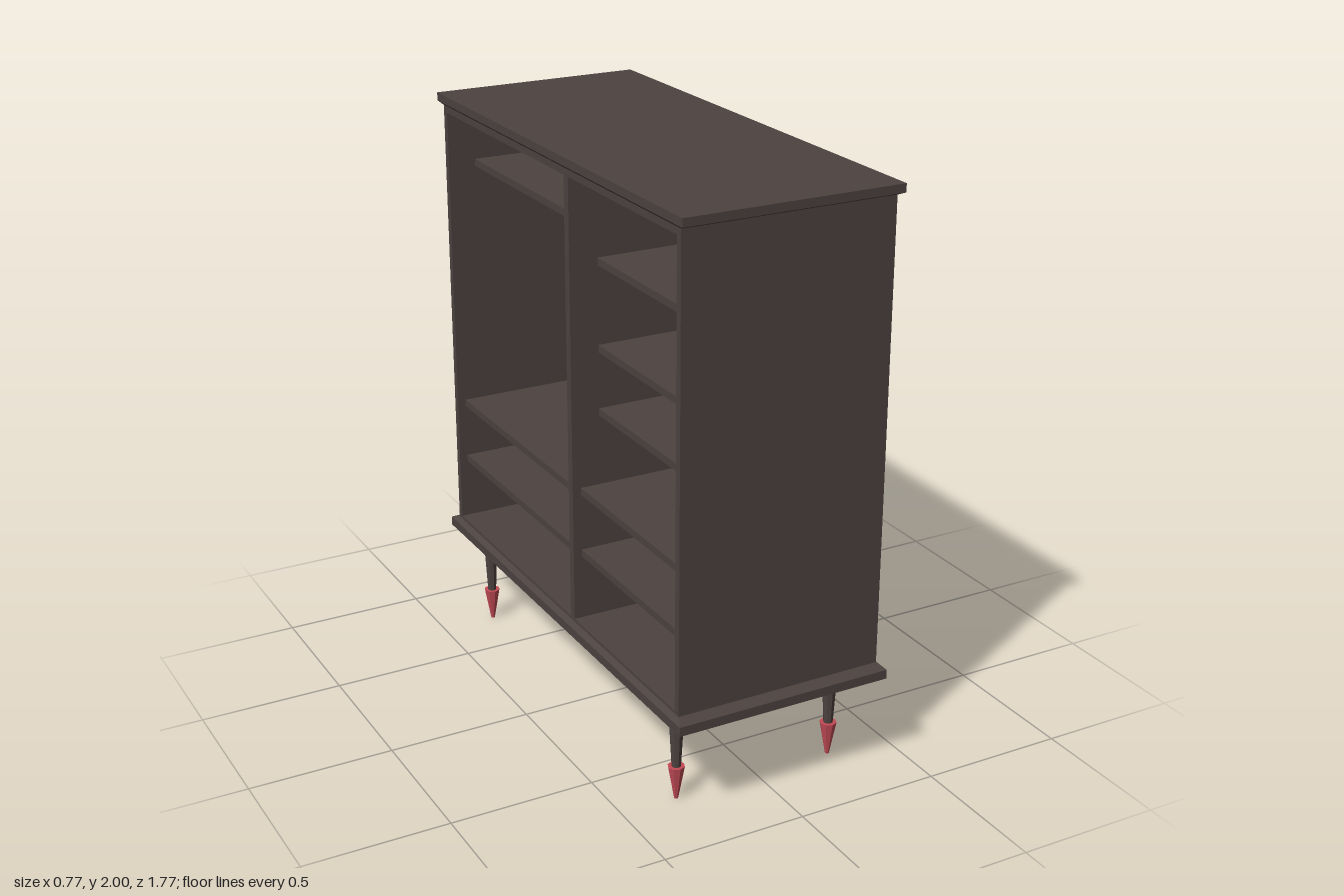
import * as THREE from 'three';

export function createModel() {
  const model = new THREE.Group();
  const wood = new THREE.MeshStandardMaterial({ color: 0x4d4340, flatShading: true });
  const red = new THREE.MeshStandardMaterial({ color: 0xc24a55, flatShading: true });

  function add(name, geometry, material = wood) {
    const mesh = new THREE.Mesh(geometry, material);
    mesh.name = name;
    model.add(mesh);
    return mesh;
  }

  // Box given by its min and max on each axis
  function board(name, x0, x1, y0, y1, z0, z1) {
    const mesh = add(name, new THREE.BoxGeometry(x1 - x0, y1 - y0, z1 - z0));
    mesh.position.set((x0 + x1) / 2, (y0 + y1) / 2, (z0 + z1) / 2);
  }

  // Slab whose lower and upper rectangles differ, for bevelled mouldings
  function bevel(name, y0, y1, lower, upper) {
    const geometry = new THREE.BoxGeometry(2, y1 - y0, 2);
    const p = geometry.attributes.position;
    for (let i = 0; i < p.count; i++) {
      const [hx, hz] = p.getY(i) < 0 ? lower : upper;
      p.setXYZ(i, p.getX(i) * hx, p.getY(i), p.getZ(i) * hz);
    }
    geometry.computeVertexNormals();
    add(name, geometry).position.y = (y0 + y1) / 2;
  }

  const X = 0.368, Z = 0.845, T = 0.025;
  const bottom = 0.387, top = 1.962;

  // Base and top mouldings
  bevel('basePlinth', 0.34, 0.372, [0.385, 0.883], [0.385, 0.883]);
  bevel('basePlinthBevel', 0.372, bottom, [0.385, 0.883], [0.37, 0.855]);
  bevel('topBevel', top, 1.972, [0.37, 0.85], [0.38, 0.872]);
  bevel('topSlab', 1.972, 2, [0.38, 0.872], [0.38, 0.872]);

  // Carcass, open towards -x
  board('backPanel', X - T, X, bottom, top, -Z, Z);
  for (const s of [-1, 1]) {
    const a = s * Z, b = s * (Z - T);
    board('sidePanel', -X, X - T, bottom, top, Math.min(a, b), Math.max(a, b));
  }
  board('floorPanel', -X, X - T, bottom, bottom + 0.01, -Z + T, Z - T);
  board('ceilingPanel', -X, X - T, top - T, top, -Z + T, Z - T);
  const d0 = 0.095, d1 = 0.125;
  board('divider', -X, X - T, bottom, top - T, d0, d1);

  // Shelves: [underside height, setback from the opening]
  const wideBay = [[1.735, 0.1], [0.835, 0.03], [0.615, 0.03]];
  const narrowBay = [[1.635, 0.1], [1.34, 0.1], [1.12, 0.1], [0.85, 0.03], [0.625, 0.03]];
  for (const [y, inset] of wideBay) board('wideShelf', -X + inset, X - T, y, y + T, -Z + T, d0);
  for (const [y, inset] of narrowBay) board('narrowShelf', -X + inset, X - T, y, y + T, d1, Z - T);

  // Tapered legs with coloured pointed feet
  for (const x of [-0.3, 0.28]) {
    for (const z of [-0.72, 0.71]) {
      add('leg', new THREE.CylinderGeometry(0.028, 0.016, 0.22, 8)).position.set(x, 0.23, z);
      add('foot', new THREE.CylinderGeometry(0.029, 0.007, 0.12, 8), red).position.set(x, 0.06, z);
    }
  }
  return model;
}
